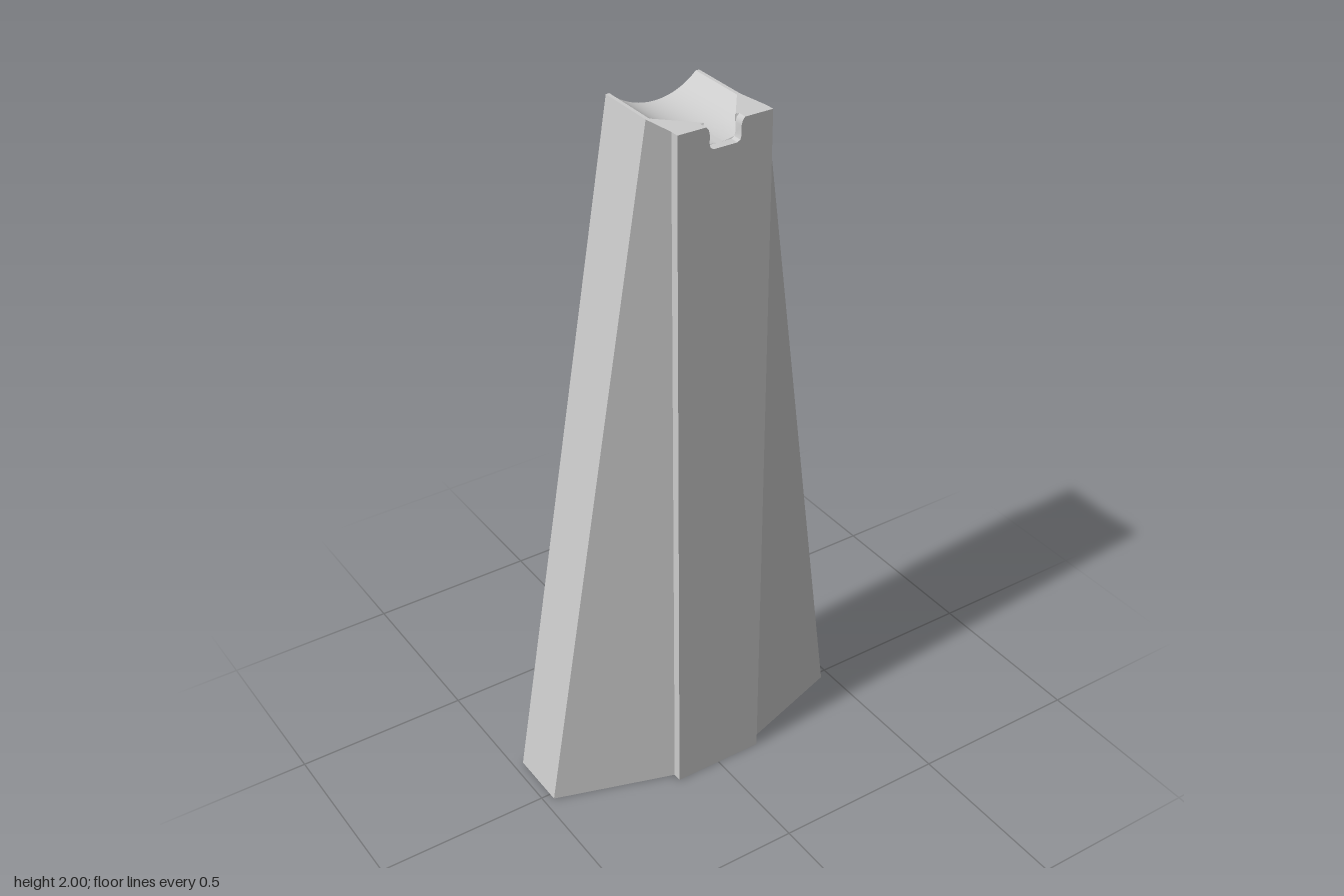
import * as THREE from 'three';
import { toCreasedNormals } from 'three/addons/utils/BufferGeometryUtils.js';

const H = 2, COL = 0.135, BASE = 0.472;         // height, column half width, base half width
const FRONT = 0.155, STEP = 0.13, EDGE = 0.021, BACK = -0.156; // depth stations along z
const RIM = 1.99, FLOOR = 1.94, RW = 0.125, NOTCH = 0.045;     // saddle rim, floor and half widths

const mat = new THREE.MeshStandardMaterial({ color: 0xcccccc, side: THREE.DoubleSide });

// Height of the circular saddle at x
const RADIUS = (RW * RW + (RIM - FLOOR) ** 2) / (2 * (RIM - FLOOR));
const arcY = x => FLOOR + RADIUS - Math.sqrt(RADIUS * RADIUS - x * x);

// Skin a sheet through rows of points that all have the same length
function sheet(name, rows) {
  const n = rows[0].length, index = [];
  for (let i = 0; i < rows.length - 1; i++) {
    for (let j = 0; j < n - 1; j++) {
      const a = i * n + j, b = a + 1, c = a + n, d = c + 1;
      index.push(a, b, d, a, d, c);
    }
  }
  const g = new THREE.BufferGeometry();
  g.setAttribute('position', new THREE.Float32BufferAttribute(rows.flat(2), 3));
  g.setIndex(index);
  const mesh = new THREE.Mesh(toCreasedNormals(g, Math.PI / 6), mat);
  mesh.name = name;
  return mesh;
}

const steps = (n, f) => Array.from({ length: n + 1 }, (_, i) => f(i / n));

export function createModel() {
  const group = new THREE.Group();

  // Top outline of the front column, with a round-cornered notch
  const half = [[COL, H], [0.055, H], [0.048, 1.992], [NOTCH, 1.98], [NOTCH, 1.955], [0.042, 1.945], [0.034, FLOOR]];
  const outline = [...half.map(([x, y]) => [-x, y]), ...half.slice().reverse()];

  const face = new THREE.Shape();
  face.moveTo(-COL, 0);
  face.lineTo(COL, 0);
  outline.slice().reverse().forEach(([x, y]) => face.lineTo(x, y));
  const plate = new THREE.Mesh(new THREE.ShapeGeometry(face), mat);
  plate.name = 'frontPlate';
  plate.position.z = FRONT;
  group.add(plate);

  // Thickness of the notched lip
  group.add(sheet('notchedLip', [
    outline.map(([x, y]) => [x, y, STEP]),
    outline.map(([x, y]) => [x, y, FRONT]),
  ]));

  // Curved saddle: full width at the back, narrowing towards the notch
  const saddleRow = (w, z) => steps(24, t => {
    const x = w * (2 * t - 1);
    return [x, arcY(x), z];
  });
  group.add(sheet('saddle', [
    saddleRow(RW, BACK),
    ...steps(8, t => saddleRow(RW + (NOTCH - RW) * t, EDGE + (STEP - EDGE) * t)),
  ]));

  // Side pieces, mirrored
  for (const s of [-1, 1]) {
    const side = s > 0 ? 'left' : 'right';

    group.add(sheet(side + 'ColumnReturn', [
      [[s * COL, 0, FRONT], [s * COL, H, FRONT]],
      [[s * COL, 0, STEP], [s * COL, H, STEP]],
    ]));

    // Wing: one four-cornered face, folded outward on the left and inward on the right
    const top = [s * COL, H, STEP], foot = [s * COL, 0, STEP];
    const outerFoot = [s * BASE, 0, EDGE], outerTop = [s * COL, RIM, EDGE];
    const wing = sheet(side + 'Wing', s > 0
      ? [[top, foot], [outerTop, outerFoot]]
      : [[foot, outerFoot], [top, outerTop]]);
    // Shade both halves as a single flat face
    const normal = wing.geometry.attributes.normal;
    for (let i = 3; i < 6; i++) normal.copyAt(i, normal, 0);
    group.add(wing);

    group.add(sheet(side + 'SidePanel', [
      [[s * BASE, 0, EDGE], [s * COL, RIM, EDGE]],
      [[s * BASE, 0, BACK], [s * COL, RIM, BACK]],
    ]));

    // Narrow rim beside the saddle, widening into the front corner
    group.add(sheet(side + 'TopRim', [
      [[s * COL, RIM, BACK], [s * RW, RIM, BACK]],
      [[s * COL, RIM, EDGE], [s * RW, RIM, EDGE]],
      [[s * COL, H, STEP], [s * NOTCH, H, STEP]],
    ]));

    // Slanting wall between the corner and the saddle
    group.add(sheet(side + 'CornerWall', steps(8, t => {
      const x = RW + (NOTCH - RW) * t, z = EDGE + (STEP - EDGE) * t;
      return [[s * x, RIM + (H - RIM) * t, z], [s * x, arcY(x), z]];
    })));
  }
  return group;
}
